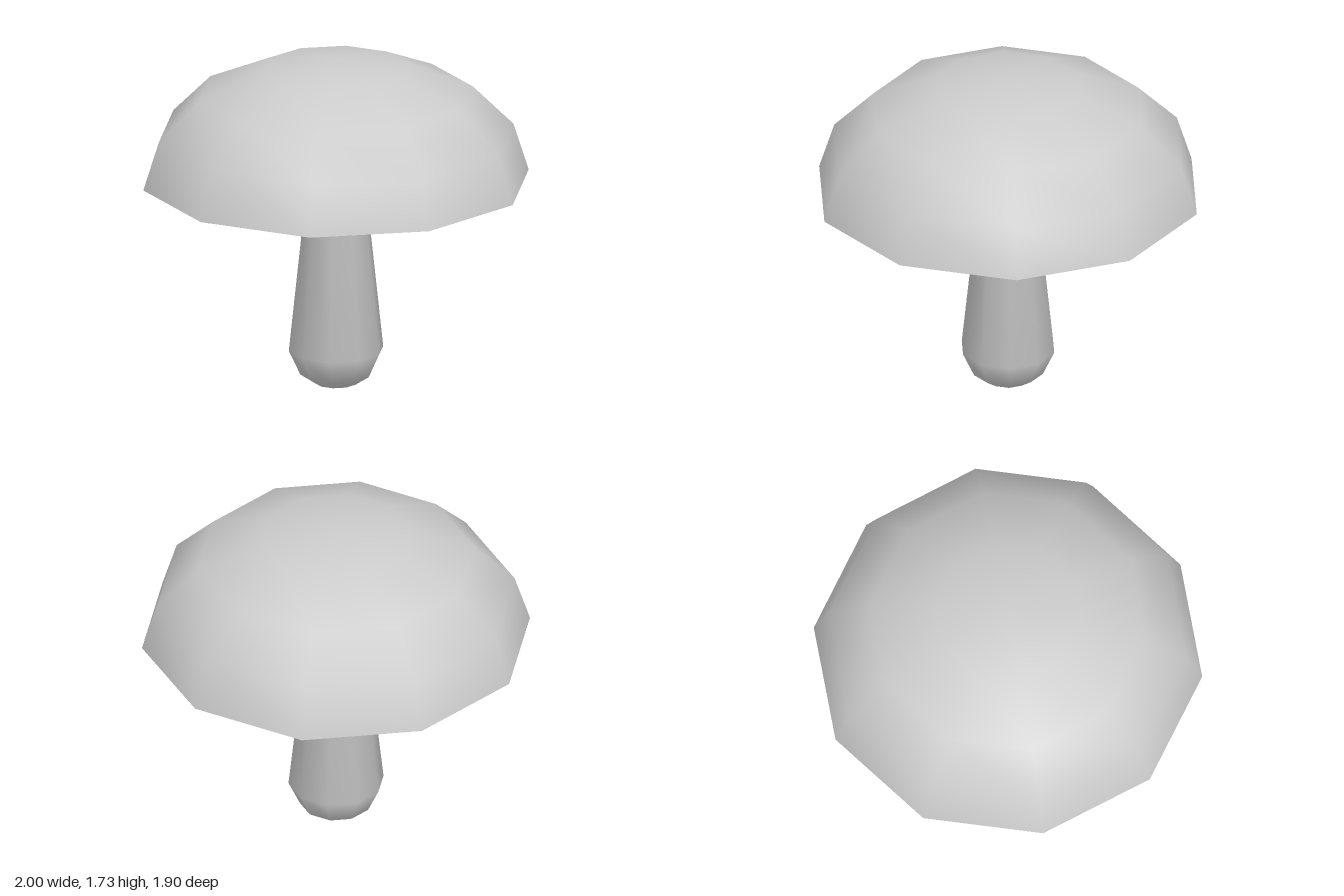
import * as THREE from 'three';

const SIDES = 10;

// Smooth ten-sided surface of revolution; corners lie on the x axis.
// Each ring's normal is the even average of the two slopes that meet there.
function turned(name, profile, material) {
  const points = profile.map(([r, y]) => new THREE.Vector2(r, y));
  const slopes = points.slice(1).map((p, i) => {
    const d = p.clone().sub(points[i]).normalize();
    return new THREE.Vector2(d.y, -d.x);
  });
  const geometry = new THREE.LatheGeometry(points, SIDES, Math.PI / 2);
  const normal = geometry.attributes.normal;
  for (let i = 0; i < normal.count; i++) {
    const ring = i % points.length;
    const angle = Math.PI / 2 + (Math.floor(i / points.length) / SIDES) * Math.PI * 2;
    const n = new THREE.Vector2();
    if (ring > 0) n.add(slopes[ring - 1]);
    if (ring < slopes.length) n.add(slopes[ring]);
    if (points[ring].x === 0) n.x = 0;
    n.normalize();
    normal.setXYZ(i, n.x * Math.sin(angle), n.y, n.x * Math.cos(angle));
  }
  const mesh = new THREE.Mesh(geometry, material);
  mesh.name = name;
  return mesh;
}

export function createModel() {
  const material = new THREE.MeshStandardMaterial({ color: 0xcccccc, side: THREE.DoubleSide });

  // Cap: separate surfaces keep the rim edges sharp; the underside is hollowed
  const cap = new THREE.Group();
  cap.name = 'cap';
  cap.add(
    turned('capTop', [[1, 1.08], [0.92, 1.33], [0.71, 1.54], [0.38, 1.68], [0, 1.73]], material),
    turned('capRim', [[0.925, 1.08], [1, 1.08]], material),
    turned('capUnderside', [[0.22, 1.19], [0.55, 1.215], [0.75, 1.165], [0.925, 1.08]], material)
  );

  // Stem: rounded foot, tapering shaft, flared neck
  const stem = new THREE.Group();
  stem.name = 'stem';
  stem.add(
    turned('stemBody', [[0.11, 0], [0.185, 0.05], [0.245, 0.18], [0.165, 0.93], [0.22, 1.08], [0.258, 1.2]], material),
    turned('stemBase', [[0, 0], [0.11, 0]], material)
  );

  const model = new THREE.Group();
  model.name = 'mushroom';
  model.add(cap, stem);
  return model;
}
